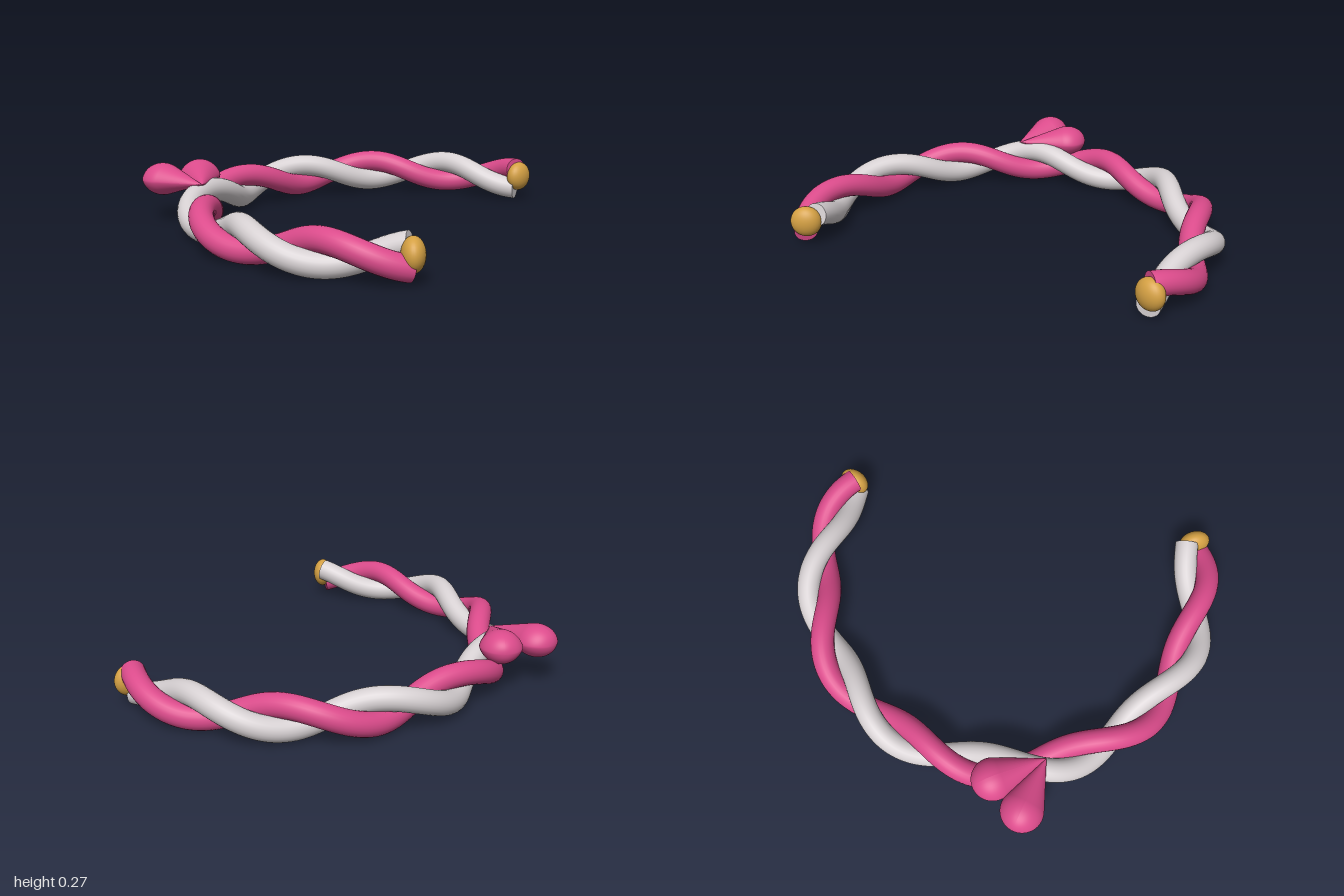
import * as THREE from 'three';

const pink = new THREE.MeshStandardMaterial({ name: 'pink', color: 0xdb4b8b });
const silver = new THREE.MeshStandardMaterial({ name: 'silver', color: 0xd6d0d2 });
const gold = new THREE.MeshStandardMaterial({ name: 'gold', color: 0xd4a043 });

const R = 0.895, CX = -0.003, CY = 0.104, CZ = 0.167; // open ring
const COIL = 0.049, TUBE = 0.054;                     // twist radius, strand radius
const START = -3.4, END = 222, PITCH = 51.2, OUTER = 9; // degrees round the ring
const rad = THREE.MathUtils.degToRad;

// One strand winding around the open ring
class StrandCurve extends THREE.Curve {
  constructor(phase) {
    super();
    this.phase = phase;
  }
  getPoint(t, target = new THREE.Vector3()) {
    const deg = START + (END - START) * t;
    const a = rad(deg);
    const twist = (deg - OUTER) / PITCH * Math.PI * 2 + this.phase;
    const r = R + COIL * Math.cos(twist);
    return target.set(CX + r * Math.cos(a), CY - COIL * Math.sin(twist), CZ - r * Math.sin(a));
  }
}

function addMesh(parent, name, geometry, material) {
  const mesh = new THREE.Mesh(geometry, material);
  mesh.name = name;
  parent.add(mesh);
  return mesh;
}

function makeStrand(name, phase, material) {
  const group = new THREE.Group();
  group.name = name;
  const curve = new StrandCurve(phase);
  addMesh(group, name + 'Tube', new THREE.TubeGeometry(curve, 260, TUBE, 24), material);
  // Flat ends
  for (const t of [0, 1]) {
    const cap = addMesh(group, name + 'End', new THREE.CircleGeometry(TUBE, 24), material);
    const p = curve.getPoint(t);
    const dir = curve.getTangent(t).multiplyScalar(t ? 1 : -1);
    cap.position.copy(p);
    cap.lookAt(p.clone().add(dir));
  }
  return group;
}

// Teardrop lobe: pointed at the origin, round at -z, pinched to a soft rim
function lobeGeometry() {
  const r = 0.096, d = 0.254;
  const points = [new THREE.Vector2(0, 0)];
  const tangent = Math.acos(r / d);
  for (let i = 0; i <= 20; i++) {
    const a = tangent + (Math.PI - tangent) * i / 20;
    points.push(new THREE.Vector2(Math.max(0, r * Math.sin(a)), d - r * Math.cos(a)));
  }
  const geometry = new THREE.LatheGeometry(points, 48);
  geometry.rotateX(-Math.PI / 2);
  const pos = geometry.attributes.position;
  for (let i = 0; i < pos.count; i++) {
    const x = pos.getX(i), y = pos.getY(i);
    const ring = Math.hypot(x, y) || 1;
    pos.setY(i, 0.78 * y * Math.pow(Math.abs(y) / ring, 0.3));
  }
  geometry.computeVertexNormals();
  return geometry;
}

export function createModel() {
  const model = new THREE.Group();
  model.name = 'twistedBracelet';

  model.add(makeStrand('pinkStrand', 0, pink));
  model.add(makeStrand('silverStrand', Math.PI, silver));

  // Flattened gold beads closing both ends
  for (const [name, x, z, deg] of [['leftBead', 0.904, 0.23, START], ['rightBead', -0.676, 0.785, END]]) {
    const bead = addMesh(model, name, new THREE.SphereGeometry(0.072, 32, 20), gold);
    bead.scale.z = 0.68;
    bead.position.set(x, 0.116, z);
    bead.rotation.y = rad(deg);
  }

  // Heart made of two lobes meeting at the tip
  const heart = new THREE.Group();
  heart.name = 'heart';
  const lobe = lobeGeometry();
  for (const side of [-1, 1]) {
    addMesh(heart, side > 0 ? 'heartLeftLobe' : 'heartRightLobe', lobe, pink).rotation.y = -side * rad(21.5);
  }
  heart.position.set(-0.588, 0.2, -0.506);
  heart.rotation.y = -rad(16.7);
  model.add(heart);

  return model;
}
